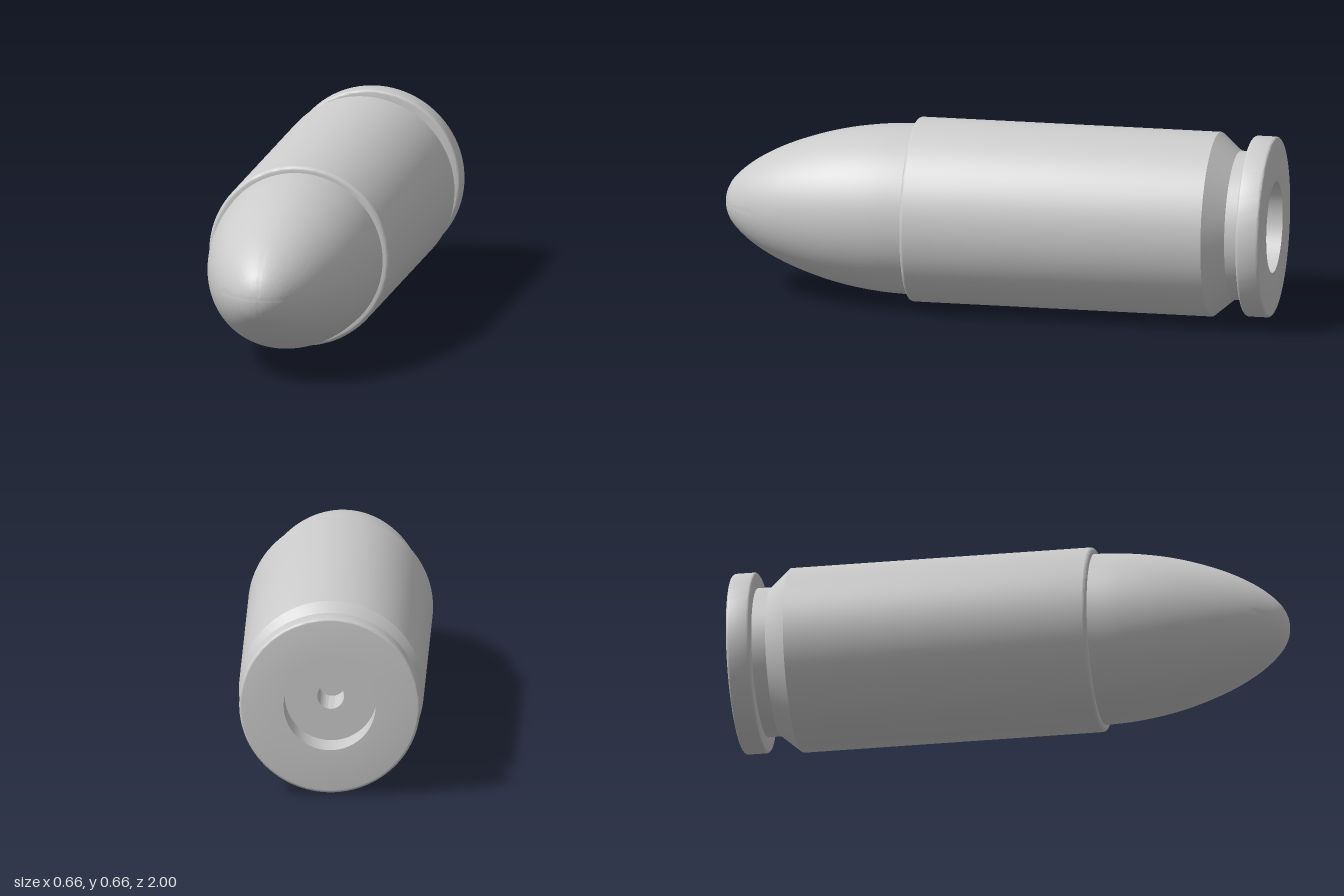
import * as THREE from 'three';
import { toCreasedNormals } from 'three/addons/utils/BufferGeometryUtils.js';

const RADIUS = 0.332;
const SEGMENTS = 96;

// Quarter-round points between two angles, as [radius, z] pairs
function fillet(r, z, size, from, to) {
  return Array.from({ length: 5 }, (_, i) => {
    const a = from + ((to - from) * i) / 4;
    return [r + size * Math.cos(a), z + size * Math.sin(a)];
  });
}

// Revolve a [radius, z] profile around the z axis
function revolve(name, profile, material) {
  const points = profile.map(([r, z]) => new THREE.Vector2(r, z));
  const geometry = toCreasedNormals(new THREE.LatheGeometry(points, SEGMENTS), 0.5);
  geometry.rotateX(Math.PI / 2);
  const mesh = new THREE.Mesh(geometry, material);
  mesh.name = name;
  mesh.position.y = RADIUS;
  return mesh;
}

export function createModel() {
  const group = new THREE.Group();
  group.name = 'cartridge';
  const material = new THREE.MeshStandardMaterial({ color: 0xcccccc });
  const quarter = Math.PI / 2;

  // Case: hollow inside, centre hole, rear recess, rim, groove, taper, wall, rounded mouth
  group.add(revolve('case', [
    [0.306, 0.303], [0.306, -0.7], [0.048, -0.7],
    [0.048, -0.87], [0.165, -0.87], [0.165, -1],
    ...fillet(0.315, -0.99, 0.01, -quarter, 0),
    ...fillet(0.315, -0.925, 0.01, 0, quarter),
    [0.268, -0.915], [0.268, -0.865],
    [RADIUS, -0.79],
    ...fillet(RADIUS - 0.014, 0.296, 0.014, 0, quarter),
    [0.306, 0.31],
  ], material));

  // Rounded nose seated in the mouth, closed at its base
  const nose = new THREE.SplineCurve([
    [0.308, 0.3], [0.302, 0.42], [0.283, 0.55], [0.252, 0.67],
    [0.207, 0.79], [0.152, 0.89], [0.093, 0.96], [0.045, 0.99], [0, 1],
  ].map(([r, z]) => new THREE.Vector2(r, z)));
  const nosePoints = nose.getPoints(48).map((p) => [Math.max(p.x, 0), p.y]);
  group.add(revolve('nose', [[0, 0.1], [0.305, 0.1], ...nosePoints], material));

  return group;
}
